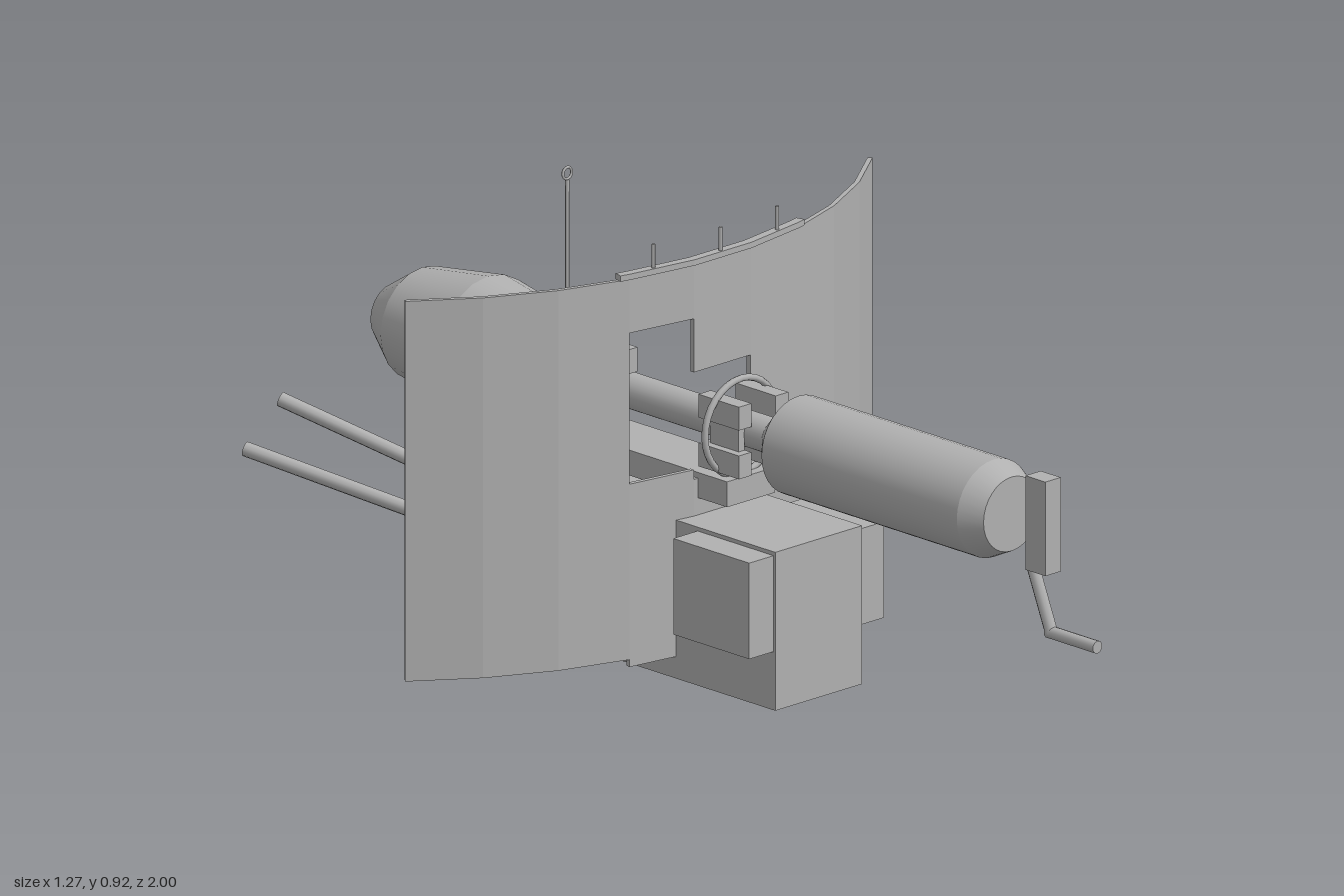
import * as THREE from 'three';
import { mergeGeometries } from 'three/addons/utils/BufferGeometryUtils.js';

export function createModel() {
  const model = new THREE.Group();
  const grey = new THREE.MeshStandardMaterial({ color: 0xb0b0b0 });
  grey.name = 'paintedSteel';
  const V = (x, y, z) => new THREE.Vector3(x, y, z);

  const add = (name, geometry) => {
    const mesh = new THREE.Mesh(geometry, grey);
    mesh.name = name;
    model.add(mesh);
    return mesh;
  };

  // Box given by its limits on each axis
  const box = (name, x0, x1, y0, y1, z0, z1) =>
    add(name, new THREE.BoxGeometry(x1 - x0, y1 - y0, z1 - z0))
      .position.set((x0 + x1) / 2, (y0 + y1) / 2, (z0 + z1) / 2);

  // Straight round bar between two points
  const rod = (name, a, b, radius, sides = 10) => {
    const dir = b.clone().sub(a);
    const mesh = add(name, new THREE.CylinderGeometry(radius, radius, dir.length(), sides));
    mesh.position.copy(a).add(b).multiplyScalar(0.5);
    mesh.quaternion.setFromUnitVectors(V(0, 1, 0), dir.normalize());
  };

  // Turned body along z with crisp edges between bands; profile is [z, radius], back to front
  const AXIS = 0.505;
  const turned = (name, profile, sides) => {
    const bands = [];
    for (let i = 1; i < profile.length; i++) {
      const [z0, r0] = profile[i - 1], [z1, r1] = profile[i];
      if (z0 === z1) {
        const disc = new THREE.CircleGeometry(Math.max(r0, r1), sides);
        if (r1 > r0) disc.rotateY(Math.PI);
        bands.push(disc.rotateZ(Math.PI / 2).translate(0, 0, z0));
      } else {
        bands.push(new THREE.CylinderGeometry(r1, r0, z1 - z0, sides, 1, true)
          .rotateX(Math.PI / 2).translate(0, 0, (z0 + z1) / 2));
      }
    }
    add(name, mergeGeometries(bands)).position.y = AXIS;
  };

  // Curved plate: part of an upright faceted shell, between two facet numbers
  const R = 0.975, CENTRE = 1.02, STEP = 0.1576;
  const arcPlate = (name, from, to, y0, y1, outer = R, inner = R - 0.01) => {
    const stops = [from];
    for (let i = Math.floor(from) + 1; i < to; i++) stops.push(i);
    stops.push(to);
    const at = (r) => (i) => {
      const a = (i - 4.5) * STEP;
      return new THREE.Vector2(r * Math.sin(a), CENTRE - r * Math.cos(a));
    };
    const shape = new THREE.Shape([...stops.map(at(outer)), ...stops.reverse().map(at(inner))]);
    const geo = new THREE.ExtrudeGeometry(shape, { depth: y1 - y0, bevelEnabled: false });
    add(name, geo.rotateX(-Math.PI / 2).translate(0, y0, 0));
  };

  // Shield, with an opening for the sight and the gun
  arcPlate('shieldRightWing', 0, 3, 0.06, 0.84);
  arcPlate('shieldUnderSight', 3, 4, 0.045, 0.42);
  arcPlate('shieldAboveSight', 3, 4, 0.73, 0.84);
  arcPlate('shieldUnderGun', 4, 5, 0.06, 0.4);
  arcPlate('shieldAboveGun', 4, 5, 0.62, 0.84);
  arcPlate('shieldLeftWing', 5, 9, 0.06, 0.84);
  arcPlate('shieldTopRail', 2.86, 6.14, 0.84, 0.852, R + 0.003, R - 0.016);
  for (const x of [-0.168, 0, 0.168]) {
    const z = Math.sqrt(R * R - x * x) - CENTRE - 0.007;
    rod('shieldPeg', V(x, 0.85, z), V(x, 0.9, z), 0.004, 6);
  }

  // Carriage
  box('carriageBody', -0.118, 0.118, 0, 0.325, -0.425, 0.222);
  box('carriageSideBox', -0.184, 0.182, 0.12, 0.317, 0.005, 0.217);
  box('cradle', -0.065, 0.065, 0.36, 0.412, -0.452, 0.033);
  rod('upperTrailBar', V(-0.11, 0.22, -0.31), V(-0.36, 0.425, -0.91), 0.015);
  rod('lowerTrailBar', V(-0.11, 0.15, -0.31), V(-0.378, 0.308, -0.99), 0.015);

  // Gun
  turned('frontBarrel', [[0.1, 0.036], [0.165, 0.1], [0.71, 0.1], [0.76, 0.076], [0.76, 0]], 32);
  turned('innerTube', [[-0.39, 0.036], [0.11, 0.036]], 20);
  turned('rearBody', [[-1, 0], [-0.968, 0.06], [-0.885, 0.113], [-0.7, 0.139],
    [-0.54, 0.112], [-0.375, 0.033]], 20);

  // Clamps and hoop around the inner tube
  for (const side of [-1, 1]) {
    for (const y of [0.45, 0.55]) {
      box('tubeClamp', side * 0.05 - 0.017, side * 0.05 + 0.017, y - 0.024, y + 0.024, -0.045, 0.068);
    }
    box('clampWeb', side * 0.042 - 0.008, side * 0.042 + 0.008, 0.47, 0.53, -0.03, 0.05);
  }
  add('hoop', new THREE.TorusGeometry(0.098, 0.007, 8, 32)).position.set(0, AXIS, 0.005);

  // Sight box and rear sight post with its eyelet
  box('sightBox', -0.174, -0.13, 0.61, 0.66, -0.28, -0.15);
  rod('sightPost', V(0, 0.59, -0.48), V(0, 0.895, -0.48), 0.004, 8);
  add('sightEyelet', new THREE.TorusGeometry(0.012, 0.003, 6, 16)).position.set(0, 0.908, -0.48);

  // Crank in front of the muzzle
  box('crankBlock', -0.021, 0.021, 0.41, 0.603, 0.82, 0.876);
  rod('crankArm', V(0, 0.412, 0.82), V(0, 0.287, 0.872), 0.013);
  rod('crankHandle', V(0, 0.289, 0.863), V(0, 0.289, 1), 0.013);
  add('crankElbow', new THREE.SphereGeometry(0.013, 10, 8)).position.set(0, 0.289, 0.87);

  return model;
}
